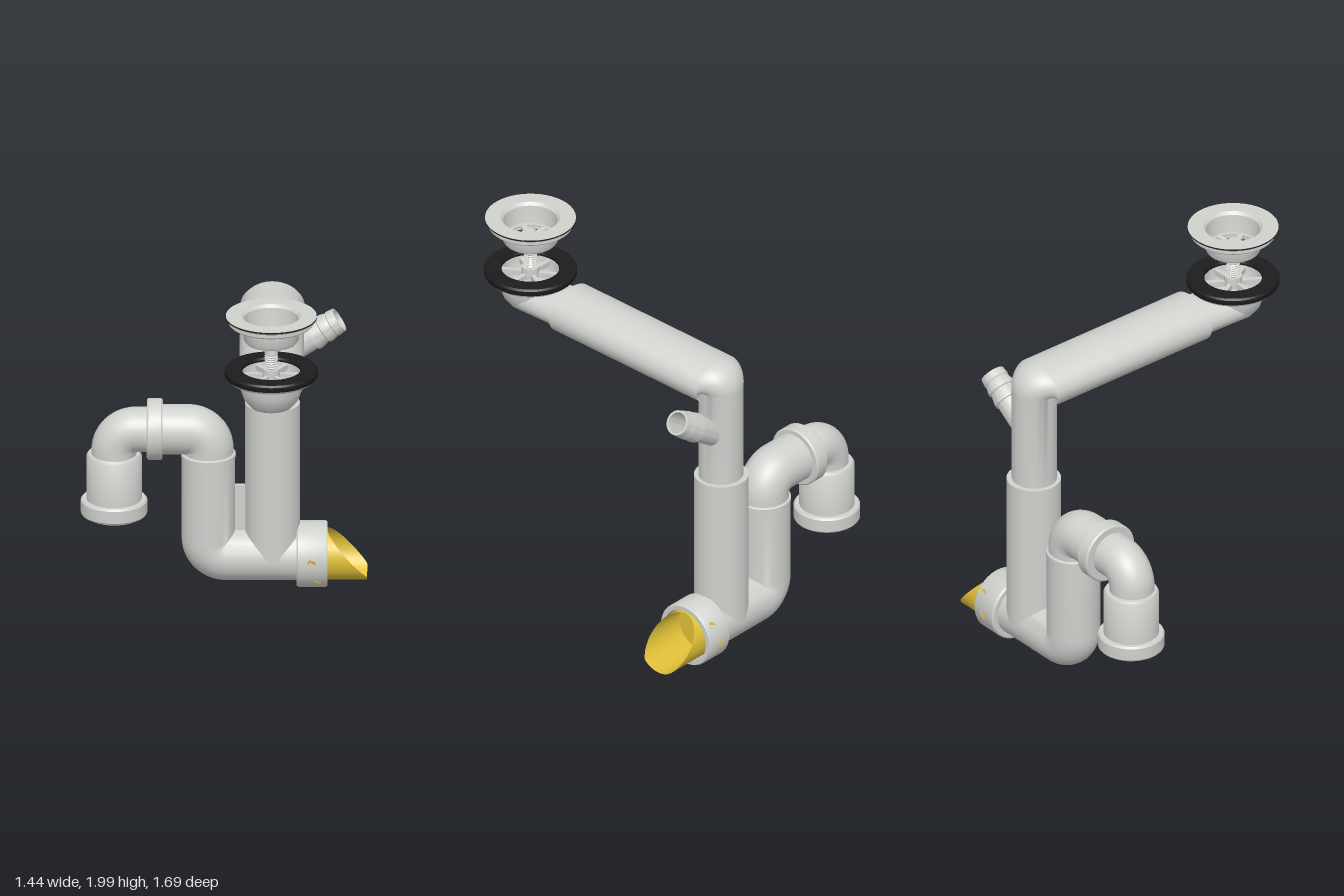
import * as THREE from 'three';
import { toCreasedNormals } from 'three/addons/utils/BufferGeometryUtils.js';

const mat = (name, color) => {
  const m = new THREE.MeshStandardMaterial({ color });
  m.name = name;
  return m;
};
const V = (x, y, z) => new THREE.Vector3(x, y, z);

export function createModel() {
  const grey = mat('pale grey plastic', 0xcfd1cd);
  const black = mat('black rubber', 0x1c1c1c);
  const yellow = mat('yellow plastic', 0xe0bf38);
  yellow.side = THREE.DoubleSide;
  const model = new THREE.Group();
  model.name = 'sinkTrap';

  const add = (name, geometry, material, x = 0, y = 0, z = 0) => {
    const mesh = new THREE.Mesh(geometry, material);
    mesh.name = name;
    mesh.position.set(x, y, z);
    model.add(mesh);
    return mesh;
  };
  const lathe = (points, segments = 48) => toCreasedNormals(
    new THREE.LatheGeometry(points.map(([r, y]) => new THREE.Vector2(r, y)), segments), 0.6);

  // Capped pipe through one rounded corner; radii are [sideways, in the bend plane]
  function bentPipe(start, corner, end, bend, radii0, radii1 = radii0) {
    const d1 = corner.clone().sub(start).normalize();
    const d2 = end.clone().sub(corner).normalize();
    const turn = d1.angleTo(d2);
    const n = d2.clone().addScaledVector(d1, -d1.dot(d2)).normalize();
    const side = d1.clone().cross(n);
    const centre = corner.clone().addScaledVector(d1, -bend * Math.tan(turn / 2)).addScaledVector(n, bend);
    const stations = [[start, d1, 0]];
    for (let i = 0; i <= 14; i++) {
      const a = turn * i / 14;
      stations.push([
        centre.clone().addScaledVector(n, -bend * Math.cos(a)).addScaledVector(d1, bend * Math.sin(a)),
        d1.clone().multiplyScalar(Math.cos(a)).addScaledVector(n, Math.sin(a)), i / 14]);
    }
    stations.push([end, d2, 1]);

    const N = 48, pos = [], index = [];
    for (const [p, t, k] of stations) {
      const u = side.clone().cross(t);
      const a = THREE.MathUtils.lerp(radii0[0], radii1[0], k);
      const b = THREE.MathUtils.lerp(radii0[1], radii1[1], k);
      for (let j = 0; j < N; j++) {
        const f = j / N * Math.PI * 2;
        const q = p.clone().addScaledVector(side, a * Math.cos(f)).addScaledVector(u, b * Math.sin(f));
        pos.push(q.x, q.y, q.z);
      }
    }
    const first = pos.length / 3, last = (stations.length - 1) * N;
    pos.push(...start.toArray(), ...end.toArray());
    for (let j = 0; j < N; j++) {
      const k = (j + 1) % N;
      for (let i = 0; i < last; i += N) {
        index.push(i + j, i + N + j, i + k, i + k, i + N + j, i + N + k);
      }
      index.push(first, j, k, first + 1, last + k, last + j);
    }
    const g = new THREE.BufferGeometry();
    g.setAttribute('position', new THREE.Float32BufferAttribute(pos, 3));
    g.setIndex(index);
    return toCreasedNormals(g, 0.6);
  }

  const Z = -0.675, X = 0.243; // rear pipe plane, riser centre

  // Oval arm bending down into the round riser
  add('upperArm', bentPipe(V(X, 1.575, 0.34), V(X, 1.54, -0.672), V(X, 0.95, -0.672), 0.03,
    [0.162, 0.12], [0.115, 0.113]), grey);
  add('riserSleeve', new THREE.CylinderGeometry(0.138, 0.138, 0.82, 48), grey, X, 0.59, Z);

  // U-bend
  add('lowerBend', bentPipe(V(-0.08, 0.715, Z), V(-0.08, 0.175, Z), V(0.4, 0.175, Z), 0.09,
    [0.135, 0.135]), grey);
  add('lowerBendLip', lathe([[0.1, -0.012], [0.138, -0.012], [0.138, 0.008], [0.128, 0.014], [0.1, 0.014]]),
    grey, -0.08, 0.715, Z);
  add('upperBend', bentPipe(V(-0.08, 0.7, Z), V(-0.08, 0.85, Z), V(-0.33, 0.85, Z), 0.1,
    [0.127, 0.127]), grey);
  add('outletElbow', bentPipe(V(-0.34, 0.85, Z), V(-0.555, 0.85, Z), V(-0.555, 0.7, Z), 0.11,
    [0.114, 0.114]), grey);
  add('unionCollar', lathe([[0.1, -0.04], [0.148, -0.04], [0.156, -0.032], [0.156, 0.032],
    [0.148, 0.04], [0.1, 0.04]]), grey, -0.35, 0.85, Z - 0.005).rotation.z = -Math.PI / 2;
  add('bendWeb', new THREE.BoxGeometry(0.1, 0.27, 0.03), grey, 0.08, 0.415, Z);

  // Open outlet socket
  add('outletSocket', lathe([[0, 0.6], [0.122, 0.6], [0.122, 0.38], [0.14, 0.38], [0.142, 0.392],
    [0.162, 0.392], [0.168, 0.4], [0.168, 0.465], [0.16, 0.475], [0.14, 0.475], [0.14, 0.705],
    [0.13, 0.72], [0.1, 0.72]]), grey, -0.555, 0, Z - 0.005);

  // Cleaning port collar with its yellow scoop
  add('portCollar', lathe([[0.12, 0.365], [0.16, 0.365], [0.168, 0.373], [0.168, 0.51], [0.162, 0.52],
    [0.14, 0.52], [0.14, 0.4], [0, 0.4]]), grey, 0, 0.175, Z).rotation.z = -Math.PI / 2;

  const scoop = new THREE.CylinderGeometry(0.13, 0.13, 1, 64, 1, true).rotateZ(-Math.PI / 2);
  const sp = scoop.attributes.position;
  for (let i = 0; i < sp.count; i++) {
    sp.setX(i, sp.getX(i) < 0 ? 0.41 : Math.min(0.72, 0.52 + (0.13 - sp.getY(i)) * 0.91));
  }
  add('scoop', scoop, yellow, 0, 0.175, Z);
  add('scoopBack', new THREE.CircleGeometry(0.138, 48), yellow, 0.415, 0.175, Z).rotation.y = Math.PI / 2;

  // Slanted locking tabs wrapped on the collar, front and back
  for (const turn of [0, Math.PI]) {
    const slot = new THREE.Shape();
    slot.absarc(0, 0.055, 0.021, 0, Math.PI);
    slot.absarc(0, -0.055, 0.016, Math.PI, Math.PI * 2);
    const g = new THREE.ShapeGeometry(slot, 8);
    const p = g.attributes.position;
    for (let i = 0; i < p.count; i++) {
      const x = p.getX(i), y = p.getY(i), a = (y - 0.045) / 0.168;
      p.setXYZ(i, 0.457 + x - y * 0.28, 0.172 * Math.sin(a), 0.172 * Math.cos(a));
    }
    g.computeVertexNormals();
    add('lockingTab', g, yellow, 0, 0.175, Z).rotation.x = turn;
  }

  // Barbed hose spout
  add('hoseSpout', lathe([[0.068, 0], [0.068, 0.17], [0.076, 0.172], [0.076, 0.19], [0.066, 0.235],
    [0.073, 0.24], [0.073, 0.258], [0.064, 0.29], [0.069, 0.295], [0.064, 0.335],
    [0.053, 0.335], [0.053, 0.12], [0, 0.12]]), grey, 0.3, 1.265, Z)
    .rotation.z = 0.584 - Math.PI / 2;

  // Basin under the sink and its oval outlet
  const SX = 0.245, SZ = 0.605;
  add('basinOutlet', bentPipe(V(SX, 1.568, 0.62), V(SX, 1.567, 0.45), V(SX, 1.565, 0.28), 0.01,
    [0.137, 0.09]), grey);
  add('basin', lathe([[0, 1.488], [0.06, 1.492], [0.105, 1.51], [0.138, 1.55], [0.155, 1.6], [0.16, 1.64],
    [0.215, 1.657], [0.228, 1.675], [0.145, 1.69], [0.14, 1.62], [0.1, 1.55], [0, 1.535]]), grey, SX, 0, SZ);
  add('gasket', lathe([[0.15, 1.672], [0.23, 1.672], [0.235, 1.68], [0.235, 1.7], [0.228, 1.71],
    [0.15, 1.71], [0.145, 1.7], [0.15, 1.672]], 64), black, SX, 0, SZ);
  for (let i = 0; i < 3; i++) {
    add('basinSpoke', new THREE.BoxGeometry(0.29, 0.03, 0.022), grey, SX, 1.67, SZ).rotation.y = i * Math.PI / 3;
  }
  add('basinHub', new THREE.CylinderGeometry(0.045, 0.045, 0.17, 24), grey, SX, 1.63, SZ);

  // Threaded screw
  const thread = [[0, 1.7]];
  for (let i = 0; i < 7; i++) thread.push([0.027, 1.715 + i * 0.012], [0.034, 1.721 + i * 0.012]);
  thread.push([0.033, 1.8], [0.033, 1.86], [0, 1.86]);
  add('screw', lathe(thread, 24), grey, SX, 0, SZ);

  // Strainer cup with a six-spoked floor
  add('strainerCup', lathe([[0.12, 1.86], [0.13, 1.86], [0.14, 1.875], [0.14, 1.94], [0.152, 1.955],
    [0.207, 1.955], [0.215, 1.963], [0.215, 1.98], [0.222, 1.988], [0.229, 1.992], [0.229, 2], [0.15, 2],
    [0.136, 1.985], [0.126, 1.89], [0.12, 1.86]], 64), grey, SX, 0, SZ);
  add('strainerRimEdge', new THREE.CylinderGeometry(0.231, 0.231, 0.007, 64, 1, true), black, SX, 1.9955, SZ);

  const floor = new THREE.Shape();
  floor.absarc(0, 0, 0.128, 0, Math.PI * 2);
  for (let i = 0; i < 6; i++) {
    const mid = (i + 0.5) * Math.PI / 3;
    const hole = new THREE.Path();
    hole.absarc(0, 0, 0.112, mid - 0.4, mid + 0.4, false);
    hole.absarc(0, 0, 0.062, mid + 0.28, mid - 0.28, true);
    hole.closePath();
    floor.holes.push(hole);
  }
  add('strainerFloor', new THREE.ExtrudeGeometry(floor, { depth: 0.018, bevelEnabled: false, curveSegments: 24 })
    .rotateX(-Math.PI / 2), grey, SX, 1.872, SZ);
  add('strainerHub', new THREE.CylinderGeometry(0.05, 0.05, 0.05, 32), grey, SX, 1.875, SZ);
  add('strainerNut', toCreasedNormals(new THREE.CylinderGeometry(0.03, 0.03, 0.02, 6), 0.5), grey, SX, 1.908, SZ);
  add('lockNut', toCreasedNormals(new THREE.CylinderGeometry(0.055, 0.055, 0.02, 6), 0.5), grey, SX, 1.85, SZ);
  return model;
}
